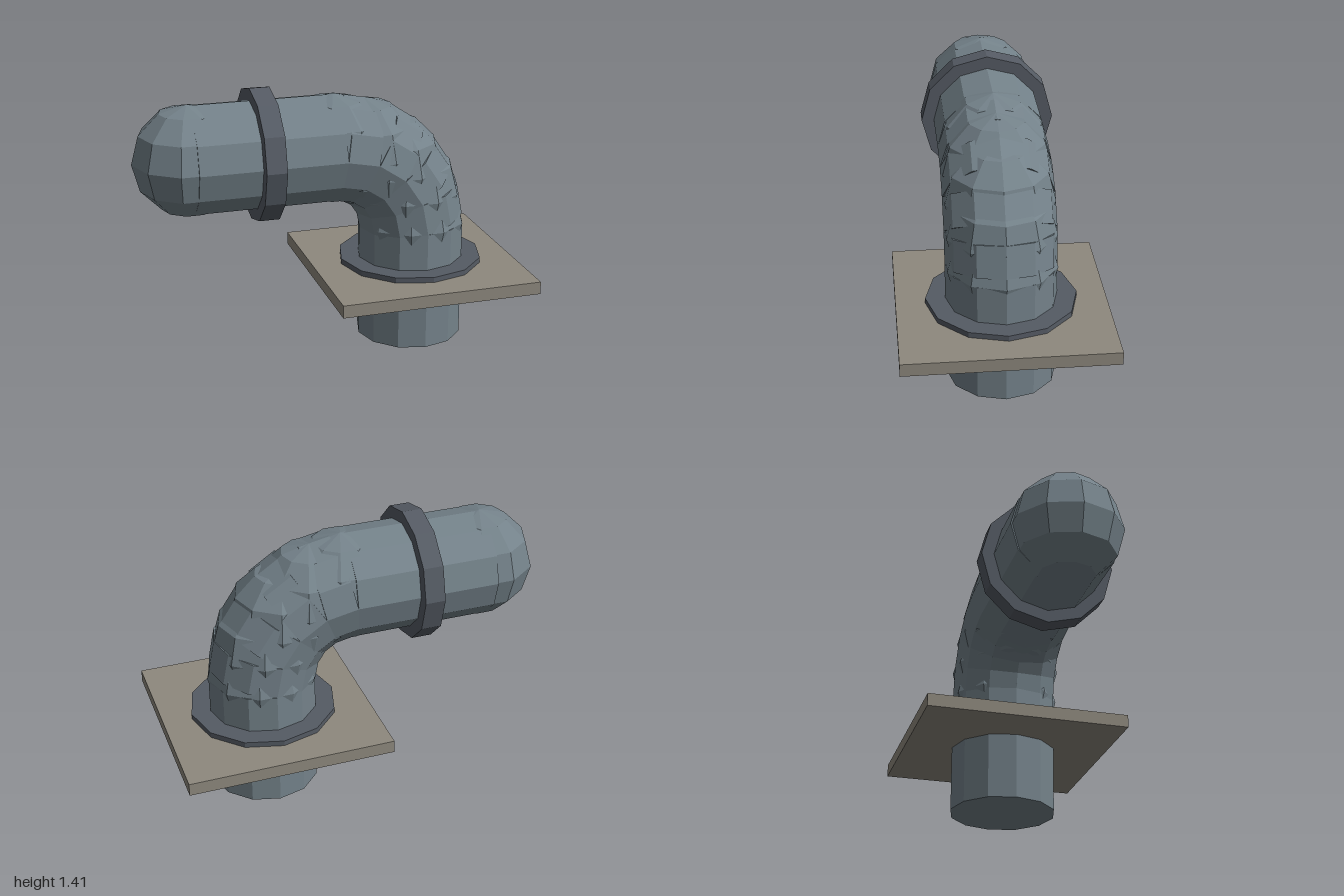
import * as THREE from 'three';

export function createModel() {
  const model = new THREE.Group();
  model.name = 'elbowPipe';

  const material = (name, color) => {
    const m = new THREE.MeshStandardMaterial({ color, flatShading: true });
    m.name = name;
    return m;
  };
  const pipeMat = material('pipe blue grey', 0x74828a);
  const trimMat = material('dark trim', 0x555b64);
  const plateMat = material('stone plate', 0x8e897e);

  const add = (name, geometry, mat, position) => {
    const mesh = new THREE.Mesh(geometry, mat);
    mesh.name = name;
    mesh.position.copy(position);
    model.add(mesh);
    return mesh;
  };
  const vec = (x, y) => new THREE.Vector3(x, y, 0);
  const up = vec(0, 1);

  // Twelve-sided cylinder between two points
  const rod = (name, a, b, radius, mat) => {
    const dir = b.clone().sub(a);
    const mid = a.clone().add(b).multiplyScalar(0.5);
    const mesh = add(name, new THREE.CylinderGeometry(radius, radius, dir.length(), 12), mat, mid);
    mesh.quaternion.setFromUnitVectors(up, dir.normalize());
  };

  // Pipe path: upright, quarter bend in four steps, then level
  const bendX = 0.04, bendY = 0.635, bendR = 0.43, steps = 4;
  const path = [vec(0.47, 0)];
  for (let i = 0; i <= steps; i++) {
    const a = (i / steps) * Math.PI / 2;
    path.push(vec(bendX + bendR * Math.cos(a), bendY + bendR * Math.sin(a)));
  }
  path.push(vec(-0.713, bendY + bendR));

  // Straight lengths with a ball at each joint and at the closed end
  for (let i = 1; i < path.length; i++) {
    rod('pipeSection' + i, path[i - 1], path[i], 0.281, pipeMat);
    const isEnd = i === path.length - 1;
    add(isEnd ? 'endDome' : 'pipeJoint' + i, new THREE.SphereGeometry(0.287, 10, 6), pipeMat, path[i]);
  }

  // Collar around the level pipe
  rod('collar', vec(-0.395, 1.065), vec(-0.29, 1.065), 0.345, trimMat);

  // Mounting plate and flange around the upright pipe
  add('mountingPlate', new THREE.BoxGeometry(1.063, 0.067, 1.06), plateMat, vec(0.468, 0.378));
  rod('flange', vec(0.47, 0.40), vec(0.47, 0.44), 0.381, trimMat);

  return model;
}
